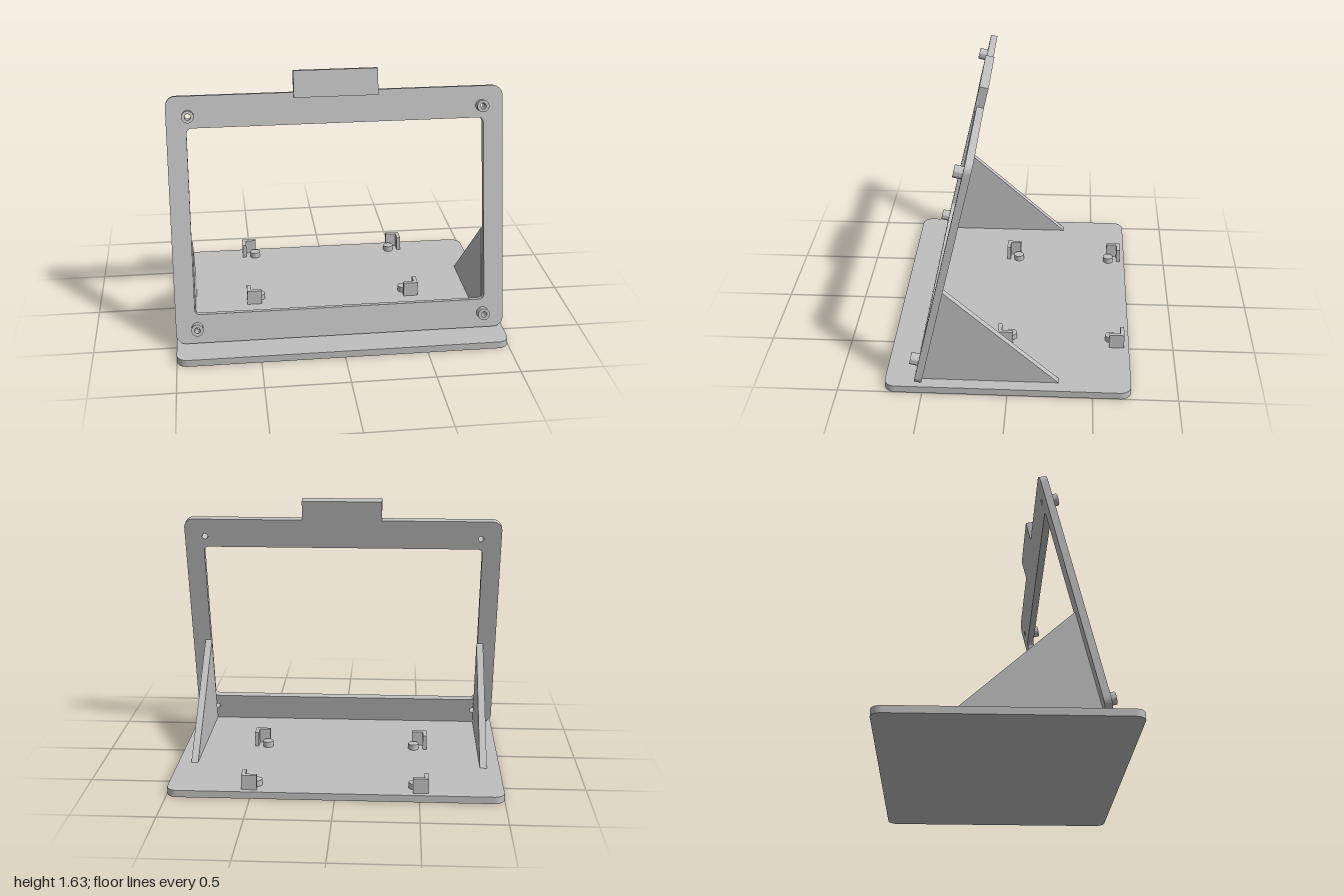
import * as THREE from 'three';
import { toCreasedNormals } from 'three/addons/utils/BufferGeometryUtils.js';

const BASE_T = 0.043, FRAME_T = 0.043, TILT = THREE.MathUtils.degToRad(13);
const FOOT_Z = 0.508; // where the back of the frame meets the base

// Rounded rectangle between two corners
function roundedRect(target, x0, y0, x1, y1, r) {
  target.moveTo(x0 + r, y0);
  target.lineTo(x1 - r, y0);
  target.absarc(x1 - r, y0 + r, r, -Math.PI / 2, 0);
  target.lineTo(x1, y1 - r);
  target.absarc(x1 - r, y1 - r, r, 0, Math.PI / 2);
  target.lineTo(x0 + r, y1);
  target.absarc(x0 + r, y1 - r, r, Math.PI / 2, Math.PI);
  target.lineTo(x0, y0 + r);
  target.absarc(x0 + r, y0 + r, r, Math.PI, Math.PI * 1.5);
  return target;
}

function circle(target, x, y, r) {
  target.absarc(x, y, r, 0, Math.PI * 2);
  return target;
}

function extrude(shape, depth) {
  const g = new THREE.ExtrudeGeometry(shape, { depth, bevelEnabled: false, curveSegments: 16 });
  return toCreasedNormals(g, 0.6);
}

export function createModel() {
  const model = new THREE.Group();
  model.name = 'displayStand';
  const grey = new THREE.MeshStandardMaterial({ color: 0xbfbfbf });
  grey.name = 'grey';

  const add = (parent, name, geometry, x = 0, y = 0, z = 0) => {
    const mesh = new THREE.Mesh(geometry, grey);
    mesh.name = name;
    mesh.position.set(x, y, z);
    parent.add(mesh);
    return mesh;
  };

  // Base plate
  const base = extrude(roundedRect(new THREE.Shape(), -1, -0.725, 1, 0.725, 0.065), BASE_T);
  base.rotateX(-Math.PI / 2);
  add(model, 'basePlate', base);

  // Leaning frame with its window and screw holes
  const frame = new THREE.Group();
  frame.name = 'frame';
  frame.position.set(0, BASE_T, FOOT_Z);
  frame.rotation.x = -TILT;
  model.add(frame);

  const bosses = [];
  for (const x of [-0.872, 0.872]) for (const y of [0.093, 1.372]) bosses.push([x, y]);

  const panel = roundedRect(new THREE.Shape(), -1, 0, 1, 1.49, 0.06);
  panel.holes.push(roundedRect(new THREE.Path(), -0.883, 0.177, 0.883, 1.3, 0.03));
  for (const [x, y] of bosses) panel.holes.push(circle(new THREE.Path(), x, y, 0.018));
  add(frame, 'framePanel', extrude(panel, FRAME_T));

  // Hollow screw bosses on the front
  const ring = circle(new THREE.Shape(), 0, 0, 0.036);
  ring.holes.push(circle(new THREE.Path(), 0, 0, 0.018));
  const ringGeometry = extrude(ring, 0.05);
  for (const [x, y] of bosses) add(frame, 'screwBoss', ringGeometry, x, y, FRAME_T);

  // Tab on the top edge, standing slightly proud of the panel
  add(frame, 'topTab', new THREE.BoxGeometry(0.5, 0.159, 0.054), 0, 1.5375, 0.027);

  // Triangular side braces, drawn in the z-y plane
  const rise = 0.602;
  const brace = new THREE.Shape([
    new THREE.Vector2(0.3, 0),
    new THREE.Vector2(-FOOT_Z, 0),
    new THREE.Vector2(-FOOT_Z + rise * Math.tan(TILT), rise),
  ]);
  const braceGeometry = extrude(brace, 0.043);
  braceGeometry.rotateY(Math.PI / 2); // shape x becomes -z, depth becomes +x
  add(model, 'leftBrace', braceGeometry, 0.877, BASE_T, 0);
  add(model, 'rightBrace', braceGeometry, -0.92, BASE_T, 0);

  // Corner brackets and support pegs on the base
  const H = 0.092, L = 0.092, T = 0.024, MID_Z = -0.306;
  const armX = new THREE.BoxGeometry(L, H, T);
  const armZ = new THREE.BoxGeometry(T, H, L - T);
  const peg = new THREE.CylinderGeometry(0.033, 0.033, 0.036, 32);
  for (const sx of [-1, 1]) for (const sz of [-1, 1]) {
    const mount = new THREE.Group();
    mount.name = 'cornerMount';
    mount.position.set(0, BASE_T, MID_Z);
    model.add(mount);
    add(mount, 'bracketArmAcross', armX, sx * (0.553 - L / 2), H / 2, sz * (0.388 - T / 2));
    add(mount, 'bracketArmAlong', armZ, sx * (0.553 - T / 2), H / 2, sz * (0.388 - T - (L - T) / 2));
    add(mount, 'supportPeg', peg, sx * 0.469, 0.018, sz * 0.307);
  }

  return model;
}
